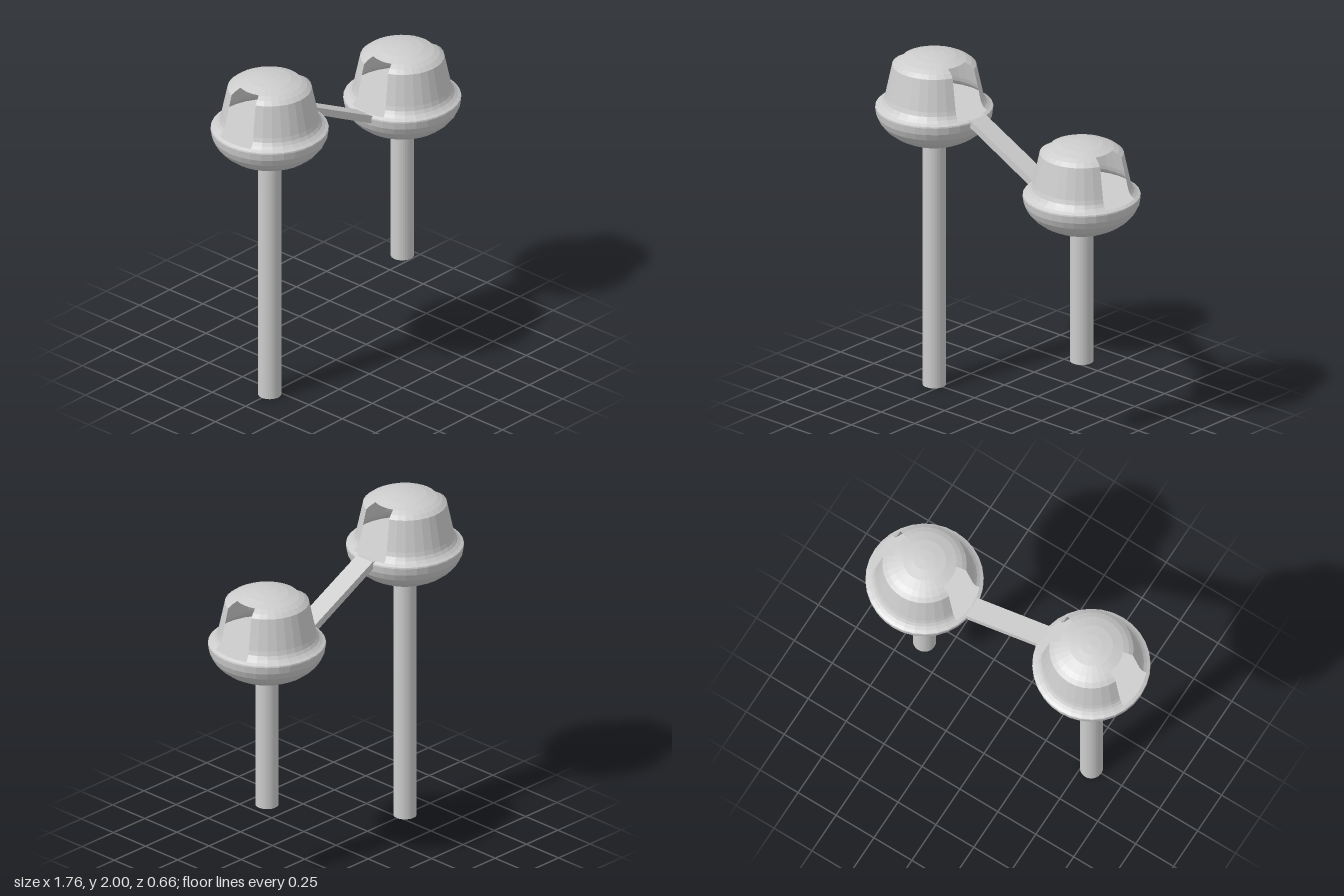
import * as THREE from 'three';

const SEGMENTS = 32;
const DOOR = Math.PI / 8; // half angle of each doorway

// One flat grey for the whole model
const grey = new THREE.MeshStandardMaterial({ color: 0xcccccc, flatShading: true, side: THREE.DoubleSide });
grey.name = 'light grey';

function part(name, geometry, parent) {
  const mesh = new THREE.Mesh(geometry, grey);
  mesh.name = name;
  parent.add(mesh);
  return mesh;
}

function lathe(points, segments = SEGMENTS, start = 0, length = Math.PI * 2) {
  return new THREE.LatheGeometry(points.map(([r, y]) => new THREE.Vector2(r, y)), segments, start, length);
}

// A hut on a post; y = 0 is the widest point of the bowl
function createPod(name, x, y, postBottom) {
  const pod = new THREE.Group();
  pod.name = name;
  pod.position.set(x, y, 0);

  // Half-ellipsoid bowl with a bevelled rim
  const bowl = [];
  for (let i = 0; i <= 8; i++) {
    const a = (i / 8) * Math.PI / 2;
    bowl.push([0.33 * Math.sin(a), -0.215 * Math.cos(a)]);
  }
  bowl.push([0.328, 0.008], [0.31, 0.018]);
  part('bowl', lathe(bowl), pod);

  // Flat floor, seen through the doorways
  part('floor', new THREE.CircleGeometry(0.31, SEGMENTS).rotateX(-Math.PI / 2).translate(0, 0.018, 0), pod);

  // Front and back walls with their share of the roof edge, leaving doorways at the sides
  const wall = [[0.31, 0.018], [0.293, 0.032], [0.281, 0.05], [0.273, 0.075], [0.235, 0.255], [0.21, 0.275], [0.18, 0.291]];
  for (const [wallName, middle] of [['frontWall', 0], ['backWall', Math.PI]]) {
    const half = Math.PI / 2 - DOOR;
    part(wallName, lathe(wall, 12, middle - half, half * 2), pod);
  }

  // Roof cap over the centre
  part('roofCap', lathe([[0.18, 0.291], [0.12, 0.311], [0.06, 0.321], [0, 0.325]]), pod);

  // Support post, its top hidden in the bowl
  const top = -0.18;
  const height = top - (postBottom - y);
  part('post', new THREE.CylinderGeometry(0.065, 0.065, height, SEGMENTS).translate(0, top - height / 2, 0), pod);
  return pod;
}

// Sloping plank between the two facing doorways
function createBridge() {
  const side = new THREE.Shape([
    [-0.25, 1.693], [-0.225, 1.695], [0.235, 1.463], [0.25, 1.455], [0.25, 1.42], [0.22, 1.422], [-0.24, 1.658],
  ].map(([x, y]) => new THREE.Vector2(x, y)));
  return new THREE.ExtrudeGeometry(side, { depth: 0.125, bevelEnabled: false }).translate(0, 0, -0.065);
}

export function createModel() {
  const model = new THREE.Group();
  model.name = 'linkedPods';
  model.add(createPod('tallPod', -0.55, 1.675, 0));
  model.add(createPod('shortPod', 0.55, 1.445, 0.445));
  part('bridge', createBridge(), model);
  return model;
}
